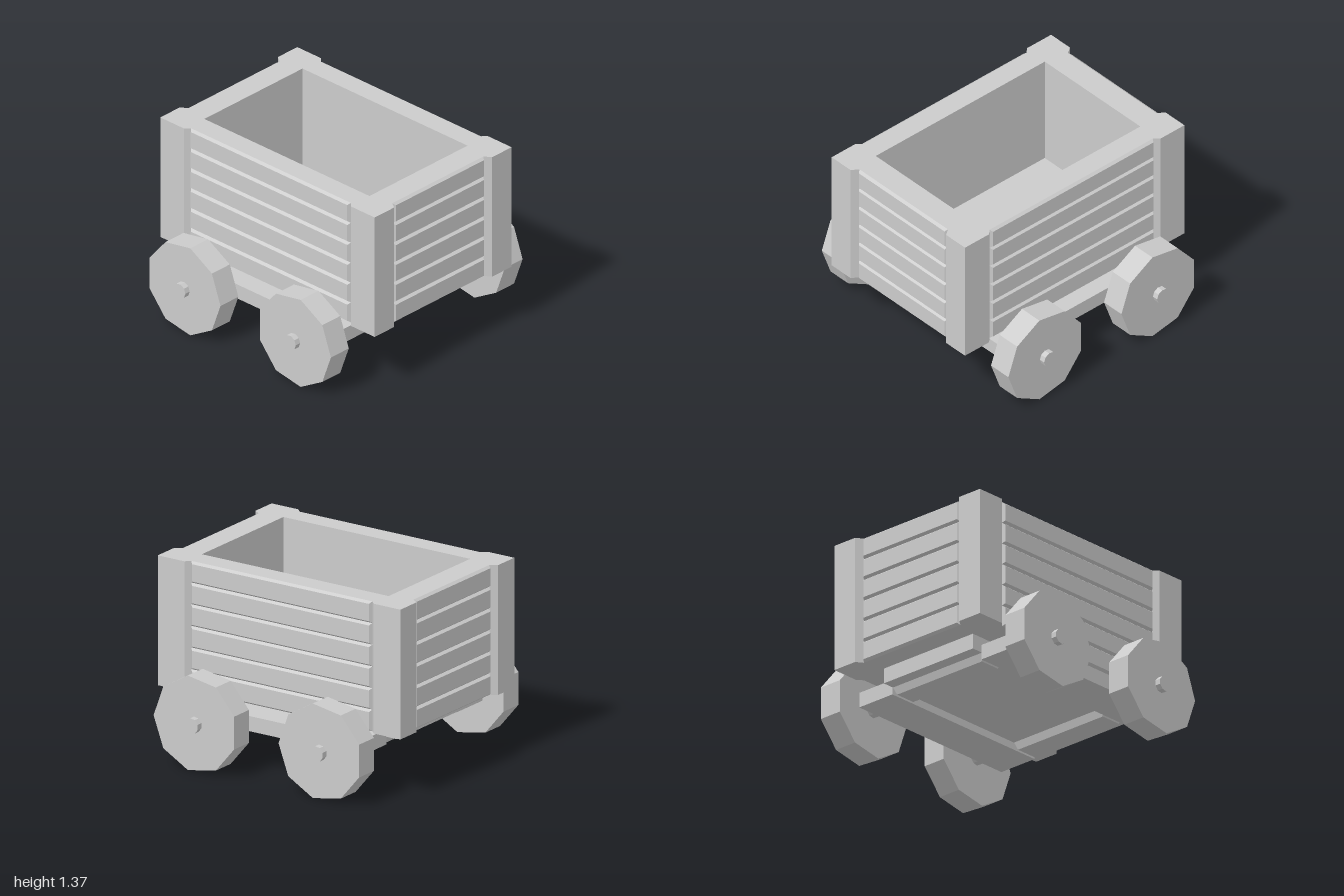
import * as THREE from 'three';

const material = new THREE.MeshStandardMaterial({ color: 0xcccccc, flatShading: true });

function add(parent, name, geometry, x = 0, y = 0, z = 0) {
  const mesh = new THREE.Mesh(geometry, material);
  mesh.name = name;
  mesh.position.set(x, y, z);
  parent.add(mesh);
  return mesh;
}

// Box whose +z face is inset, giving chamfered edges
function chamferedPlank(width, height, depth, inset) {
  const g = new THREE.BoxGeometry(width, height, depth);
  const p = g.attributes.position;
  for (let i = 0; i < p.count; i++) {
    if (p.getZ(i) > 0) {
      p.setX(i, p.getX(i) - Math.sign(p.getX(i)) * inset);
      p.setY(i, p.getY(i) - Math.sign(p.getY(i)) * inset);
    }
  }
  g.computeVertexNormals();
  return g;
}

// Polygonal cylinder lying along z, with a corner at +x
function disc(radius, length, sides) {
  return new THREE.CylinderGeometry(radius, radius, length, sides)
    .rotateX(Math.PI / 2).rotateZ(Math.PI / 2);
}

export function createModel() {
  const cart = new THREE.Group();
  cart.name = 'cart';

  const bottom = 0.45, top = 1.375;
  const baseX = 0.95, baseZ = 0.635;

  // Tub walls with four thicker corner posts
  const corner = [
    [baseX, 0.445], [1, 0.48], [1, 0.67], [0.78, 0.67], [0.745, baseZ],
  ];
  const flip = (pts, sx, sy) => pts.map(([x, y]) => [x * sx, y * sy]);
  const outline = [
    ...corner,
    ...flip(corner, -1, 1).reverse(),
    ...flip(corner, -1, -1),
    ...flip(corner, 1, -1).reverse(),
  ].map(([x, y]) => new THREE.Vector2(x, y));
  const shape = new THREE.Shape(outline);
  shape.holes.push(new THREE.Path([
    new THREE.Vector2(-0.77, -0.48), new THREE.Vector2(-0.77, 0.48),
    new THREE.Vector2(0.77, 0.48), new THREE.Vector2(0.77, -0.48),
  ]));
  const walls = new THREE.ExtrudeGeometry(shape, { depth: top - bottom, bevelEnabled: false });
  add(cart, 'tubWalls', walls.rotateX(-Math.PI / 2), 0, bottom, 0);
  add(cart, 'tubFloor', new THREE.BoxGeometry(1.56, 0.1, 0.98), 0, bottom + 0.05, 0);

  // Horizontal planks on all four sides
  const rows = 6, pitch = (top - bottom) / rows, depth = 0.02;
  for (let side = 0; side < 4; side++) {
    const long = side % 2 === 0;
    const panel = new THREE.Group();
    panel.name = long ? 'longSidePlanks' : 'endPlanks';
    panel.rotation.y = side * Math.PI / 2;
    for (let i = 0; i < rows; i++) {
      add(panel, 'plank', chamferedPlank(long ? 1.49 : 0.89, pitch, depth, 0.015),
        0, bottom + pitch * (i + 0.5), (long ? baseZ : baseX) + depth / 2);
    }
    cart.add(panel);
  }

  // Undercarriage
  add(cart, 'chassisBed', new THREE.BoxGeometry(1.58, 0.11, 0.82), 0, 0.395, 0);
  for (const s of [-1, 1]) {
    add(cart, 'sideRail', new THREE.BoxGeometry(1.41, 0.108, 0.305), 0, 0.341, s * 0.5625);
    const beam = chamferedPlank(0.2, 0.82, 0.055, 0.02).rotateX(Math.PI / 2)
      .rotateY(Math.PI / 2).rotateY(-Math.PI / 2);
    add(cart, 'crossBeam', beam.rotateY(0), s * 0.6, 0.3145, 0);
  }

  // Nine-sided wheels on short axles
  for (const x of [-0.525, 0.505]) {
    for (const s of [-1, 1]) {
      add(cart, 'wheel', disc(0.342, 0.175, 9), x, 0.34, s * 0.85);
      add(cart, 'axle', disc(0.055, 0.36, 9), x, 0.34, s * 0.8);
    }
  }

  return cart;
}
